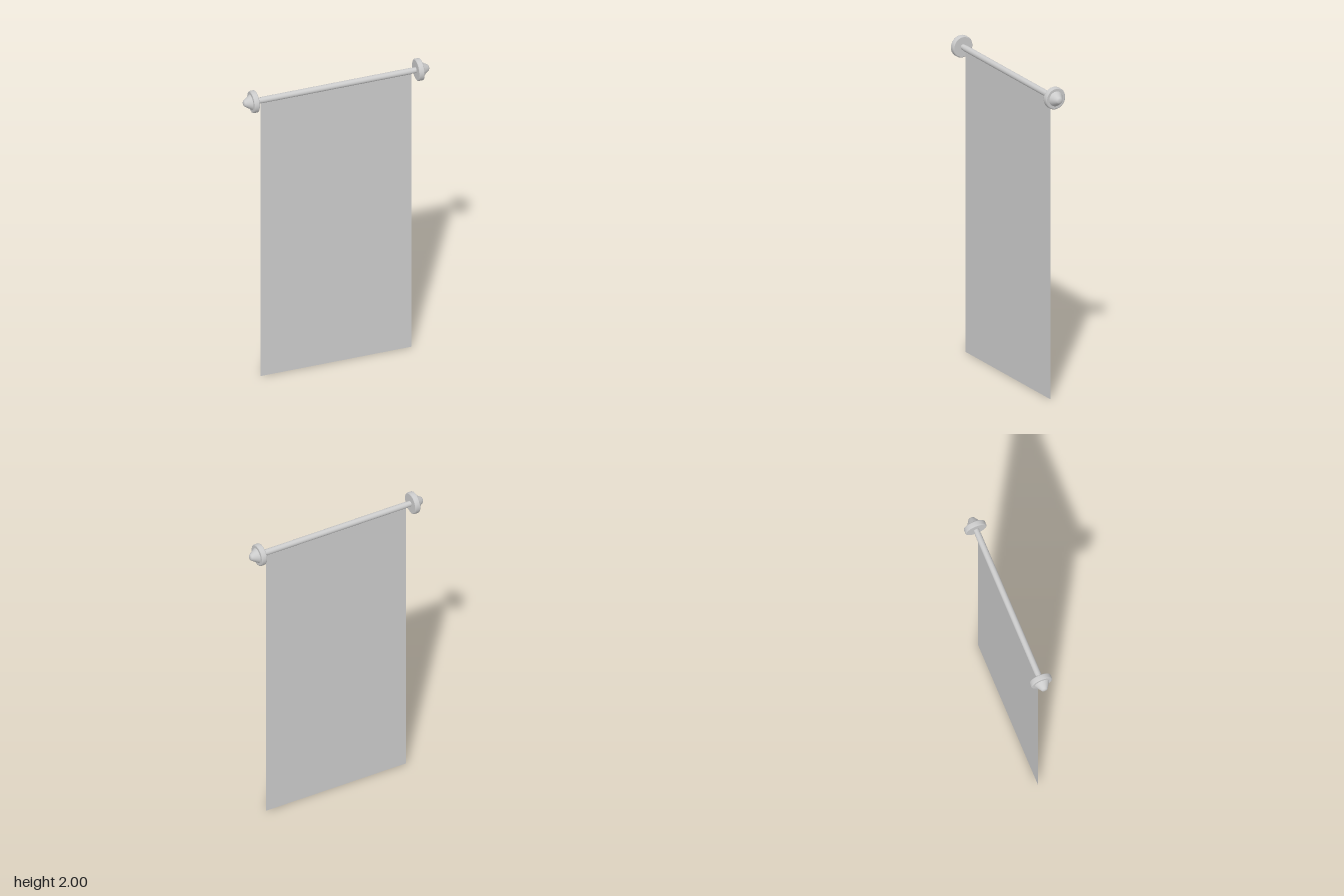
import * as THREE from 'three';

const AXIS_Y = 1.932;

export function createModel() {
  const group = new THREE.Group();
  const grey = new THREE.MeshStandardMaterial({ color: 0xcccccc });
  const clothGrey = new THREE.MeshStandardMaterial({ color: 0xcccccc, side: THREE.DoubleSide });

  const add = (name, geometry, material = grey) => {
    const mesh = new THREE.Mesh(geometry, material);
    mesh.name = name;
    group.add(mesh);
    return mesh;
  };

  // Horizontal rod
  const rod = add('rod', new THREE.CylinderGeometry(0.0175, 0.0175, 1.04, 32));
  rod.rotation.z = Math.PI / 2;
  rod.position.y = AXIS_Y;

  // Cloth sleeve wrapped around the rod
  const sleeve = add('clothSleeve', new THREE.CylinderGeometry(0.019, 0.019, 0.96, 32, 1, true), clothGrey);
  sleeve.rotation.z = Math.PI / 2;
  sleeve.position.y = AXIS_Y;

  // Thin hanging cloth
  const cloth = add('cloth', new THREE.PlaneGeometry(0.96, AXIS_Y - 0.018), clothGrey);
  cloth.position.y = (AXIS_Y - 0.018) / 2;

  // End caps: a disc with softened rims, and a blunt cone outside it
  const lathe = (points) =>
    new THREE.LatheGeometry(points.map(([r, h]) => new THREE.Vector2(r, h)), 40);
  const discProfile = [
    [0, 0.508], [0.062, 0.508], [0.062, 0.508], [0.066, 0.51], [0.068, 0.514],
    [0.068, 0.537], [0.066, 0.541], [0.062, 0.543], [0.062, 0.543], [0, 0.543],
  ];
  const coneProfile = [
    [0.047, 0.541], [0.046, 0.545], [0.021, 0.583], [0.017, 0.588], [0.01, 0.591], [0, 0.592],
  ];
  for (const side of [1, -1]) {
    const label = side > 0 ? 'left' : 'right';
    const finial = new THREE.Group();
    finial.name = label + 'Finial';
    for (const [part, profile] of [['Disc', discProfile], ['Tip', coneProfile]]) {
      const mesh = new THREE.Mesh(lathe(profile), grey);
      mesh.name = label + part;
      finial.add(mesh);
    }
    finial.rotation.z = -side * Math.PI / 2;
    finial.position.y = AXIS_Y;
    group.add(finial);
  }

  return group;
}
